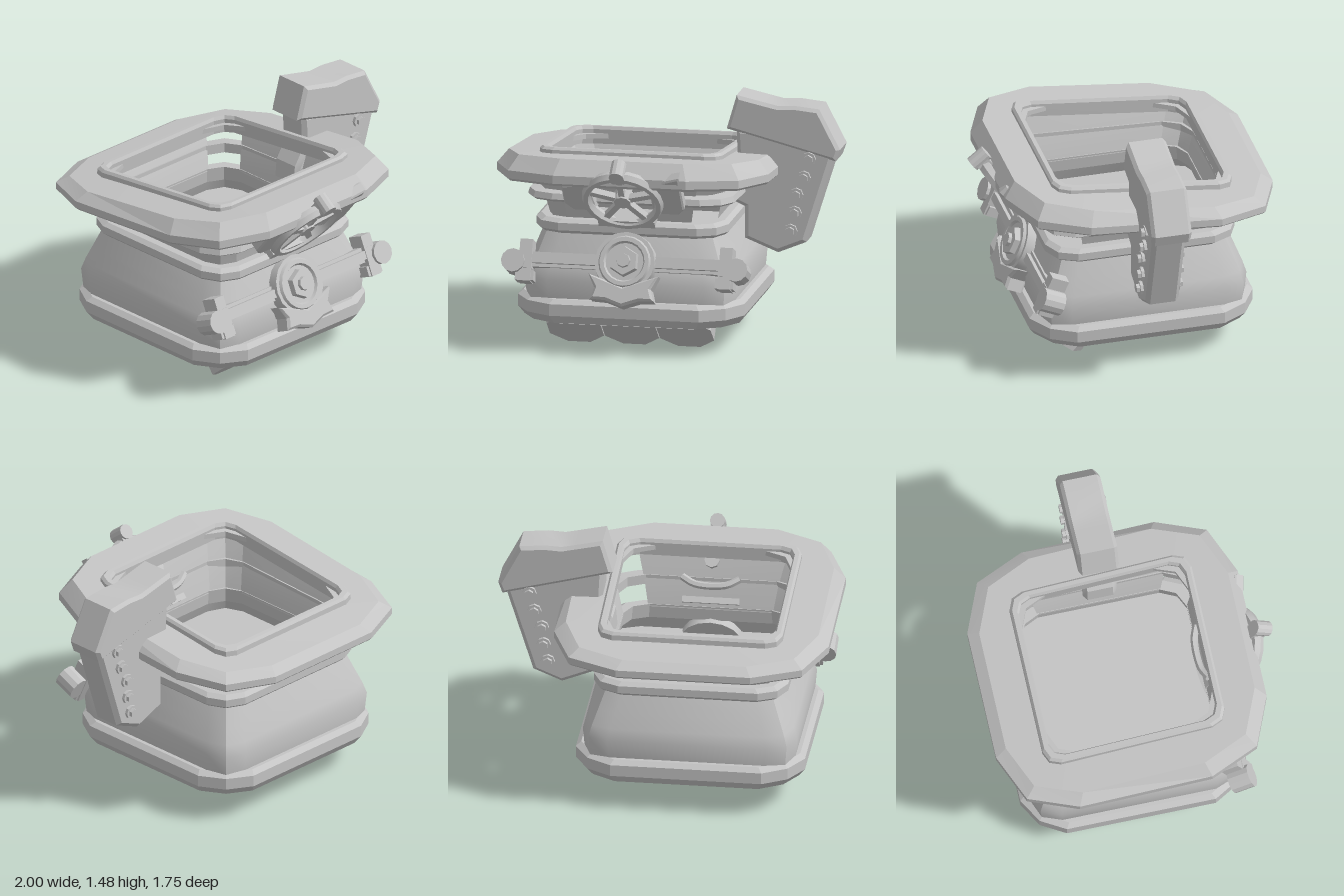
import * as THREE from 'three';
import { toCreasedNormals } from 'three/addons/utils/BufferGeometryUtils.js';

const metal = new THREE.MeshStandardMaterial({ color: 0xc4c4c4, side: THREE.DoubleSide });
metal.name = 'grey metal';
const CX = -0.19, CZ = -0.045;

function part(parent, name, geo, pos = [0, 0, 0], rot = [0, 0, 0], crease = 0.4) {
  const mesh = new THREE.Mesh(toCreasedNormals(geo, crease), metal);
  mesh.name = name;
  mesh.position.set(...pos);
  mesh.rotation.set(...rot);
  parent.add(mesh);
  return mesh;
}

// Twelve-sided square outline: c is where the side ends, d the corner point
function outline(h, c, d) {
  return [[1, -c], [1, c], [d, d], [c, 1], [-c, 1], [-d, d], [-1, c], [-1, -c], [-d, -d], [-c, -1], [c, -1], [d, -d]]
    .map(([x, z]) => [CX + x * h, CZ + z * h]);
}

// Sweep a profile of [half width, y, tilt] round the outline
function loft(profile, { closed = false, corner = [0.74, 0.925], skip = [] } = {}) {
  const pos = [], idx = [], rows = profile.length;
  for (const [h, y, tilt = 0] of profile)
    for (const [x, z] of outline(h, ...corner)) pos.push(x, y + tilt * (z - CZ), z);
  for (let j = 0; j < (closed ? rows : rows - 1); j++)
    for (let i = 0; i < 12; i++) {
      if (skip.includes(i)) continue;
      const k = (i + 1) % 12, n = (j + 1) % rows;
      const a = j * 12 + i, b = j * 12 + k, e = n * 12 + k, f = n * 12 + i;
      idx.push(a, f, e, a, e, b);
    }
  const g = new THREE.BufferGeometry();
  g.setAttribute('position', new THREE.Float32BufferAttribute(pos, 3));
  g.setIndex(idx);
  return g;
}

function slab(points, halfDepth, bevel) {
  const shape = new THREE.Shape(points.map(p => new THREE.Vector2(...p)));
  const g = new THREE.ExtrudeGeometry(shape, {
    depth: 2 * (halfDepth - bevel), bevelEnabled: true, bevelThickness: bevel,
    bevelSize: bevel, bevelOffset: -bevel, bevelSegments: 1
  });
  return g.translate(0, 0, bevel - halfDepth);
}

const box = (w, h, d) => new THREE.BoxGeometry(w, h, d);
const disc = (r1, r2, depth, sides) => new THREE.CylinderGeometry(r1, r2, depth, sides).rotateX(Math.PI / 2);

function addVessel(root) {
  const ring = (name, profile, corner) =>
    part(root, name, loft(profile, { closed: true, corner }), undefined, undefined, 0.15);
  part(root, 'body', loft([[0.625, 0.3], [0.636, 0.43], [0.615, 0.5], [0.58, 0.59], [0.53, 0.72]]), undefined, undefined, 0.6);
  part(root, 'bottom', loft([[0.001, 0.165], [0.61, 0.165]], { corner: [0.65, 0.87] }));
  part(root, 'innerFloor', loft([[0.573, 0.6], [0.001, 0.6]]));
  ring('lowerRing', [[0.6, 0.165], [0.645, 0.175], [0.68, 0.225], [0.68, 0.295], [0.65, 0.32], [0.6, 0.32]], [0.66, 0.875]);
  ring('upperRing', [[0.51, 0.695], [0.555, 0.7], [0.577, 0.72], [0.577, 0.765], [0.55, 0.785], [0.5, 0.785]], [0.72, 0.91]);
  // Flared neck, open at the two corners beside the arm
  part(root, 'neck', loft([[0.5, 0.77], [0.535, 0.9, 0.04], [0.6, 1.06, 0.08]],
    { skip: [1, 2, 10, 11] }), undefined, undefined, 0.3);
  ring('neckRing', [[0.54, 0.875, 0.04], [0.6, 0.875, 0.04], [0.62, 0.89, 0.04], [0.61, 0.925, 0.04], [0.54, 0.935, 0.04]], [0.72, 0.91]);
  // Wide tilted rim: flat top, bevelled edge, hollow below
  ring('rim', [[0.8, 0.985, 0.07], [0.815, 1, 0.07], [0.815, 1.045, 0.075], [0.75, 1.11, 0.115],
    [0.53, 1.115, 0.115], [0.53, 1.085, 0.115], [0.72, 1.06, 0.1]], [0.49, 0.85]);
  // Raised collar round the opening
  ring('collar', [[0.55, 1.06, 0.11], [0.548, 1.14, 0.105], [0.535, 1.155, 0.105],
    [0.51, 1.155, 0.105], [0.5, 1.135, 0.105], [0.505, 1.05, 0.11]], [0.83, 0.95]);
}

function addArm(root) {
  const arm = new THREE.Group();
  arm.name = 'arm';
  arm.position.z = -0.035;
  root.add(arm);
  part(arm, 'armPlate', slab([[0.37, 1.27], [0.38, 1.05], [0.32, 0.96], [0.31, 0.85], [0.42, 0.8], [0.42, 0.61],
    [0.62, 0.53], [0.79, 0.6], [0.96, 1.14], [0.7, 1.25]], 0.102, 0.025));
  part(arm, 'armHead', slab([[0.315, 1.27], [0.97, 1.1], [0.995, 1.17], [0.87, 1.41], [0.72, 1.425],
    [0.62, 1.42], [0.53, 1.44], [0.375, 1.475]], 0.122, 0.02), [0, 0, -0.005]);
  for (const [x, y] of [[0.81, 1.11], [0.78, 0.995], [0.735, 0.89], [0.725, 0.78], [0.7, 0.67]])
    for (const s of [-1, 1]) {
      part(arm, 'rivetBase', disc(0.042, 0.042, 0.03, 8), [x, y, s * 0.105]);
      part(arm, 'rivet', disc(0.028, 0.028, 0.045, 6), [x, y, s * 0.118]);
    }
}

function addLatch(root) {
  const latch = new THREE.Group();
  latch.name = 'latch';
  latch.position.set(CX, 0.54, 0.55);
  latch.rotation.x = -0.42;
  root.add(latch);
  part(latch, 'crossBar', box(1.22, 0.05, 0.09));
  part(latch, 'crossBarBack', box(1.2, 0.09, 0.06), [0, 0, -0.01]);
  part(latch, 'hub', disc(0.18, 0.19, 0.11, 16), [0, 0, 0.01]);
  part(latch, 'hubRing', new THREE.TorusGeometry(0.135, 0.025, 6, 20), [0, 0, 0.06]);
  part(latch, 'nutBase', disc(0.085, 0.095, 0.05, 6), [0, 0, 0.075]);
  part(latch, 'nut', disc(0.04, 0.045, 0.03, 8), [0, 0, 0.105]);
  // Pointed skirt below the hub
  part(latch, 'skirt', slab([[-0.21, -0.08], [-0.17, -0.16], [-0.19, -0.23], [-0.1, -0.235], [0, -0.27],
    [0.1, -0.235], [0.19, -0.23], [0.17, -0.16], [0.21, -0.08], [0, -0.15]], 0.06, 0.015), [0, 0, 0.02]);
  for (const s of [-1, 1]) {
    part(latch, 'endBlock', box(0.075, 0.25, 0.11), [s * 0.6, -0.01, -0.01]);
    part(latch, 'endFlare', box(0.11, 0.06, 0.09), [s * 0.6, -0.1, -0.01]);
    part(latch, 'endArm', box(0.12, 0.1, 0.1), [s * 0.62, -0.01, 0]);
    part(latch, 'endKnob', disc(0.07, 0.07, 0.13, 12), [s * 0.67, -0.02, 0.005]);
  }
}

function addWheel(root) {
  const wheel = new THREE.Group();
  wheel.name = 'wheel';
  wheel.position.set(CX, 0.965, 0.645);
  wheel.rotation.x = 0.67;
  root.add(wheel);
  part(wheel, 'wheelRim', new THREE.TorusGeometry(0.218, 0.028, 6, 24).scale(1, 1, 1.4), [0, 0, 0.02]);
  part(wheel, 'wheelHub', disc(0.05, 0.06, 0.07, 10), [0, 0, 0.01]);
  for (let i = 0; i < 5; i++) {
    const a = Math.PI / 2 + i * Math.PI * 2 / 5;
    part(wheel, 'spoke', box(0.2, 0.036, 0.04), [Math.cos(a) * 0.12, Math.sin(a) * 0.12, 0.015], [0, 0, a]);
  }
  part(wheel, 'topKnob', disc(0.045, 0.045, 0.11, 12), [0, 0.265, 0.015]);
  part(wheel, 'knobNeck', box(0.08, 0.08, 0.08), [0, 0.23, 0.015]);
  part(wheel, 'footBlock', box(0.34, 0.06, 0.1), [0, -0.21, -0.01]);
  // Side wings of the mount
  part(wheel, 'leftWing', slab([[0.17, -0.12], [0.32, -0.12], [0.36, -0.07], [0.36, 0.22], [0.17, 0.15]], 0.035, 0.01), [0, 0, -0.01]);
  part(wheel, 'rightWing', slab([[-0.17, -0.12], [-0.31, -0.12], [-0.36, -0.06], [-0.36, 0.1], [-0.2, 0.13]], 0.035, 0.01), [0, 0, -0.015]);
  part(wheel, 'mountShaft', disc(0.045, 0.045, 0.16, 8), [0, 0, -0.08]);
  // Small grip on the inside of the wall
  const curve = new THREE.CatmullRomCurve3([[-0.36, 0.97, 0.47], [-0.28, 0.94, 0.44], [-0.1, 0.94, 0.44], [-0.02, 0.97, 0.47]]
    .map(p => new THREE.Vector3(...p)));
  part(root, 'innerGrip', new THREE.TubeGeometry(curve, 12, 0.022, 6));
}

function addFeet(root) {
  // Three octagonal studs, their flat faces turned forward and down
  for (const x of [-0.52, CX, 0.14])
    part(root, 'foot', new THREE.CylinderGeometry(0.176, 0.176, 0.14, 8).rotateY(Math.PI / 8),
      [x, 0.156, 0.39], [-0.68, 0, 0], 0.2);
}

export function createModel() {
  const root = new THREE.Group();
  root.name = 'vessel';
  addVessel(root);
  addArm(root);
  addLatch(root);
  addWheel(root);
  addFeet(root);
  return root;
}
